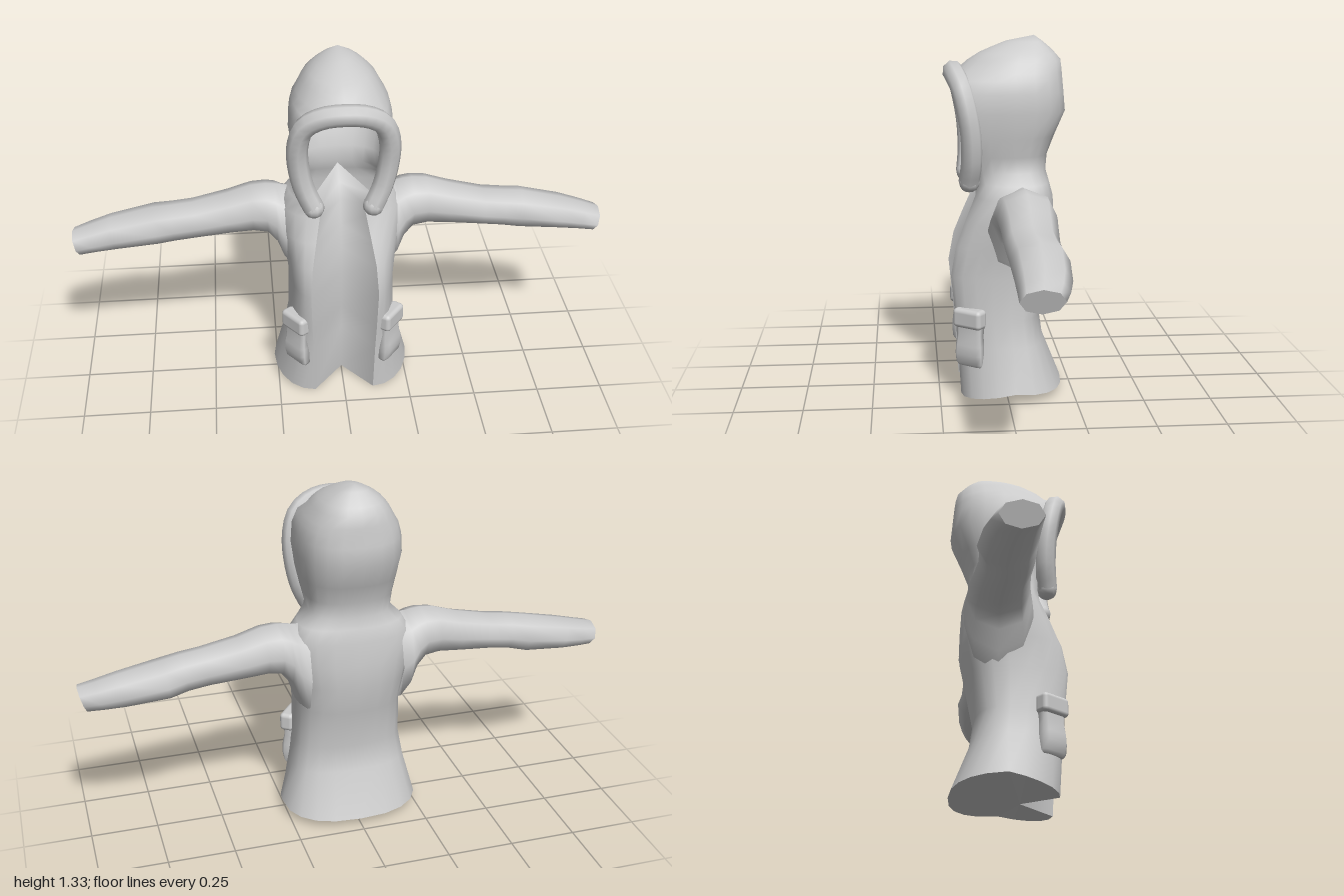
import * as THREE from 'three';
import { mergeVertices } from 'three/addons/utils/BufferGeometryUtils.js';
import { RoundedBoxGeometry } from 'three/addons/geometries/RoundedBoxGeometry.js';

// Smooth skin over rows of points, each row running the same way round
function loft(rows, closed) {
  const n = rows[0].length, pos = rows.flat(2), index = [];
  const last = closed ? n : n - 1;
  for (let r = 0; r < rows.length - 1; r++) {
    for (let i = 0; i < last; i++) {
      const a = r * n + i, b = r * n + (i + 1) % n;
      index.push(a, b, b + n, a, b + n, a + n);
    }
  }
  let g = new THREE.BufferGeometry();
  g.setAttribute('position', new THREE.Float32BufferAttribute(pos, 3));
  g.setIndex(index);
  g = mergeVertices(g, 1e-5);
  g.computeVertexNormals();
  return g;
}

// Flat fan from the first point of an outline
function cap(ring) {
  const pts = [];
  for (let i = 1; i < ring.length - 1; i++) pts.push(ring[0], ring[i], ring[i + 1]);
  const g = new THREE.BufferGeometry();
  g.setAttribute('position', new THREE.Float32BufferAttribute(pts.flat(), 3));
  g.computeVertexNormals();
  return g;
}

// Open-fronted row: front edge, round the side, across the back, to the other edge
function shellRow([yf, ys, yb, xe, zf, w, zs, zb]) {
  const half = [], N = 5;
  for (let i = 0; i <= N; i++) {
    const t = (i / N) * Math.PI / 2, s = Math.sin(t), c = Math.cos(t);
    half.push([xe + (w - xe) * s, ys + (yf - ys) * c, zs + (zf - zs) * c]);
  }
  for (let i = 1; i <= N; i++) {
    const t = (i / N) * Math.PI / 2;
    const s = Math.sin(t) ** 0.82, c = i === N ? 0 : Math.cos(t) ** 0.82;
    half.push([w * c, ys + (yb - ys) * s, zs + (zb - zs) * s]);
  }
  const other = half.slice(0, -1).reverse().map(([x, y, z]) => [-x, y, z]);
  return [...half, ...other];
}

export function createModel() {
  const group = new THREE.Group();
  const cloth = new THREE.MeshStandardMaterial({ color: 0xcccccc, side: THREE.DoubleSide });
  cloth.name = 'grey cloth';
  const add = (name, geometry, parent = group) => {
    const m = new THREE.Mesh(geometry, cloth);
    m.name = name;
    parent.add(m);
    return m;
  };

  // Coat and hood: y, opening half width, front z, half width, side z, back z
  const rows = [
    [0.20, 0.118, 0.182, 0.220, -0.02, -0.145],
    [0.30, 0.122, 0.190, 0.203, -0.01, -0.130],
    [0.46, 0.126, 0.205, 0.198, -0.01, -0.163],
    [0.57, 0.118, 0.185, 0.212, -0.03, -0.185],
    [0.66, 0.102, 0.150, 0.230, -0.04, -0.183],
    [0.75, 0.085, 0.112, 0.235, -0.05, -0.178],
    [0.80, 0.075, 0.108, 0.195, -0.05, -0.165],
    [0.84, 0.110, 0.115, 0.150, -0.04, -0.153],
    [0.90, 0.140, 0.122, 0.160, -0.03, -0.158],
    [0.97, 0.158, 0.130, 0.173, -0.03, -0.185],
    [1.06, 0.162, 0.142, 0.187, -0.03, -0.225],
    [1.13, 0.145, 0.157, 0.184, -0.03, -0.219],
    [1.175, 0.100, 0.173, 0.172, -0.03, -0.215],
    [1.20, 0, 0.180, 0.157, -0.03, -0.213],
    [1.24, 0, 0.135, 0.134, -0.04, -0.208],
    [1.265, 0, 0.095, 0.111, -0.05, -0.186],
    [1.285, 0, 0.050, 0.086, -0.07, -0.166],
    [1.307, 0, -0.005, 0.052, -0.09, -0.140],
    [1.328, 0, -0.11, 0, -0.11, -0.11],
  ].map(([y, ...rest]) => shellRow([y, y, y, ...rest]));
  const hem = shellRow([0, 0.04, 0.025, 0.113, 0.17, 0.263, -0.02, -0.215]);
  const shell = [hem, ...rows];
  add('coatAndHood', loft(shell, false));

  // Recessed lining closing the front opening, and the underside
  const depth = [0.04, 0.045, 0.05, 0.06, 0.05, 0.03, 0, -0.04, -0.12];
  const lining = depth.map((z, i) =>
    [shell[i][shell[i].length - 1], [0, shell[i][0][1] + 0.008, z], shell[i][0]]);
  add('frontLining', loft(lining, false));
  add('underside', cap([lining[0][1], ...hem.slice().reverse()]));

  // Padded hood trim, rounded at both ends
  const edge = [[0.108, 0.807, 0.135], [0.14, 0.88, 0.127], [0.161, 0.98, 0.129],
    [0.162, 1.07, 0.142], [0.137, 1.145, 0.16], [0.08, 1.185, 0.178]];
  const path = [...edge, [0, 1.198, 0.187], ...edge.slice().reverse().map(([x, y, z]) => [-x, y, z])]
    .map((p) => new THREE.Vector3(...p));
  add('hoodTrim', new THREE.TubeGeometry(new THREE.CatmullRomCurve3(path), 32, 0.039, 8));
  for (const p of [path[0], path[path.length - 1]]) {
    add('hoodTrimEnd', new THREE.SphereGeometry(0.039, 10, 8)).position.copy(p);
  }

  // Sleeve rings, flaring into the shoulder: x, top y, bottom y, centre z, half depth
  const sleeve = [
    [0.175, 0.800, 0.440, -0.050, 0.125],
    [0.215, 0.802, 0.500, -0.052, 0.126],
    [0.240, 0.806, 0.575, -0.053, 0.120],
    [0.275, 0.809, 0.618, -0.054, 0.112],
    [0.33, 0.804, 0.628, -0.055, 0.107],
    [0.42, 0.775, 0.622, -0.055, 0.100],
    [0.55, 0.745, 0.612, -0.050, 0.095],
    [0.63, 0.735, 0.602, -0.052, 0.095],
    [0.70, 0.725, 0.587, -0.060, 0.099],
    [0.86, 0.690, 0.575, -0.056, 0.091],
    [0.94, 0.667, 0.570, -0.048, 0.082],
    [1.00, 0.650, 0.565, -0.038, 0.072],
  ];
  for (const side of [1, -1]) {
    const name = side > 0 ? 'left' : 'right';
    const rings = sleeve.map(([x, top, bottom, zc, rz]) => {
      const lean = 0.03 * (x - 0.175) / 0.825, ring = [];
      for (let i = 0; i < 8; i++) {
        const a = -side * (i / 8) * Math.PI * 2, s = Math.sin(a);
        ring.push([side * (x - lean * (1 - s) / 2),
          (top + bottom) / 2 + s * (top - bottom) / 2, zc + rz * Math.cos(a)]);
      }
      return ring;
    });
    add(name + 'Sleeve', loft(rings, true));
    add(name + 'Cuff', cap(rings[rings.length - 1]));

    // Puffy pocket wrapped round the front corner, with a flap
    const pocket = new THREE.Group();
    pocket.name = name + 'Pocket';
    pocket.position.set(side * 0.178, 0, 0.139);
    pocket.rotation.y = side * 0.92;
    group.add(pocket);
    const bag = [[0.128, 0.048, 0.008], [0.14, 0.055, 0.019], [0.175, 0.056, 0.027],
      [0.21, 0.054, 0.025], [0.25, 0.05, 0.018], [0.30, 0.052, 0.018]].map(([y, w, d]) =>
      [[-w, -d], [-w, d * 0.5], [-w * 0.75, d], [w * 0.75, d], [w, d * 0.5], [w, -d]]
        .map(([x, z]) => [x, y, z]));
    add('pocketBag', loft(bag, true), pocket);
    add('pocketBase', cap(bag[0].slice().reverse()), pocket);
    add('pocketFlap', new RoundedBoxGeometry(0.12, 0.072, 0.056, 3, 0.016), pocket)
      .position.set(0, 0.312, 0.002);
  }
  return group;
}
